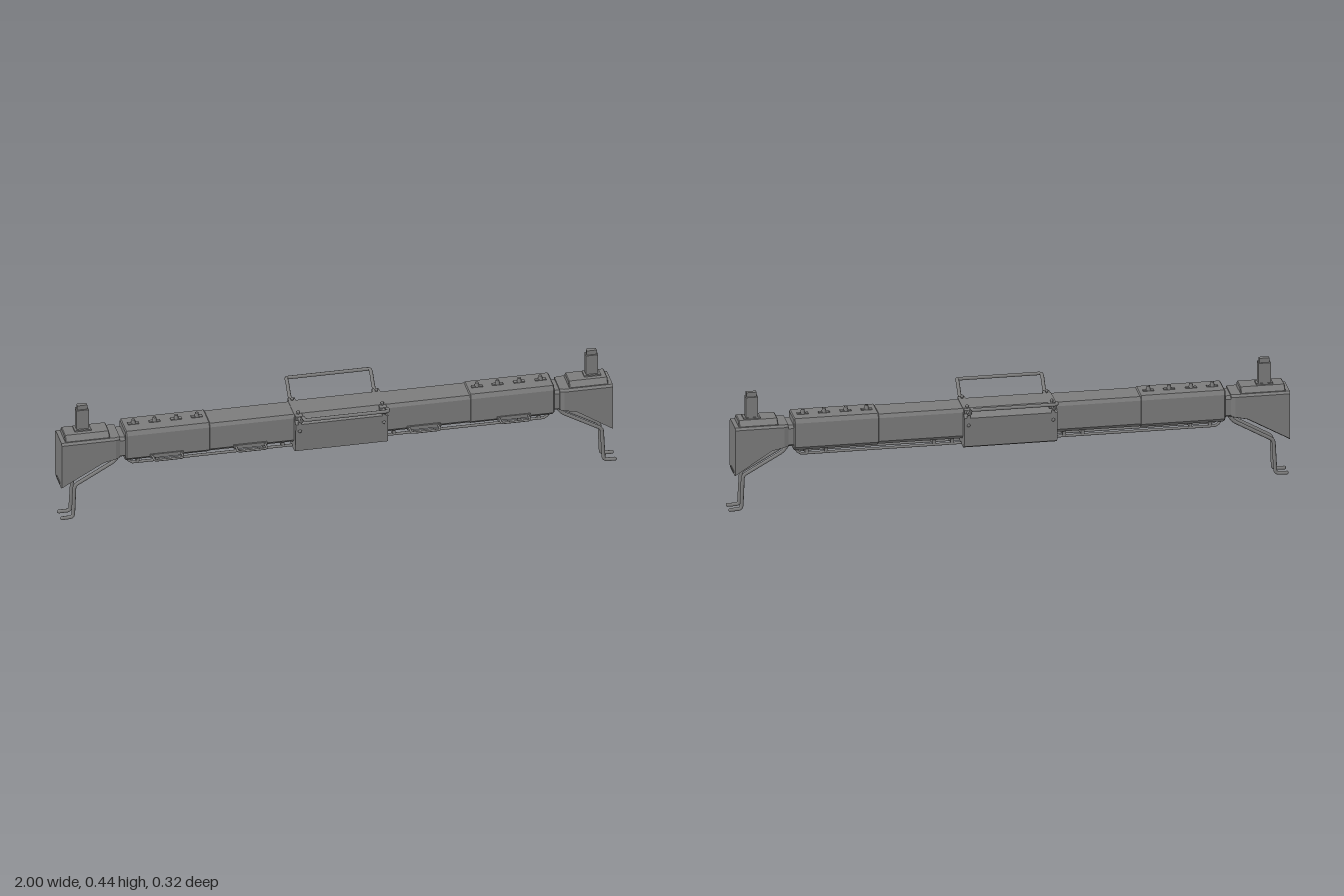
import * as THREE from 'three';

const mat = new THREE.MeshStandardMaterial({ color: 0x7c7c7c });
const V = (p) => new THREE.Vector3(...p);

export function createModel() {
  const root = new THREE.Group();
  const add = (name, geo, x = 0, y = 0, z = 0) => {
    const m = new THREE.Mesh(geo, mat);
    m.name = name;
    m.position.set(x, y, z);
    root.add(m);
    return m;
  };
  const box = (name, w, h, d, x, y, z) => add(name, new THREE.BoxGeometry(w, h, d), x, y, z);

  // Closed outline from a half-section of [z, y] points
  const section = (half) => {
    const pts = [...half, ...half.map(([z, y]) => [-z, y]).reverse()];
    return new THREE.Shape(pts.map(([z, y]) => new THREE.Vector2(z, y)));
  };

  // Constant section swept along x
  const beam = (name, half, x0, x1, bevel = 0) => {
    const geo = new THREE.ExtrudeGeometry(section(half), {
      depth: x1 - x0 - 2 * bevel, bevelEnabled: bevel > 0,
      bevelThickness: bevel, bevelSize: bevel, bevelOffset: -bevel, bevelSegments: 1,
    });
    geo.translate(0, 0, x0 + bevel).rotateY(Math.PI / 2);
    return add(name, geo);
  };

  // Section swept through stations [x, drop of the underside, width factor]
  const loft = (name, half, stations) => {
    const n = stations.length - 1;
    const geo = new THREE.ExtrudeGeometry(section(half), { depth: n, steps: n, bevelEnabled: false });
    const pos = geo.attributes.position;
    for (let i = 0; i < pos.count; i++) {
      const [x, drop, width] = stations[Math.round(pos.getZ(i))];
      const y = pos.getY(i);
      pos.setXYZ(i, pos.getX(i) * width, y < 0.28 ? y - drop : y, x);
    }
    geo.rotateY(Math.PI / 2);
    geo.computeVertexNormals();
    return add(name, geo);
  };

  // Bent rod with rounded corners and round ends
  const rod = (name, points, radius, bend = 0.01) => {
    const p = points.map(V);
    const path = new THREE.CurvePath();
    let last = p[0];
    for (let i = 1; i < p.length - 1; i++) {
      const cut = (q) => p[i].clone().add(
        q.clone().sub(p[i]).setLength(Math.min(bend, q.distanceTo(p[i]) * 0.45)));
      const a = cut(p[i - 1]), b = cut(p[i + 1]);
      path.add(new THREE.LineCurve3(last, a));
      path.add(new THREE.QuadraticBezierCurve3(a, p[i], b));
      last = b;
    }
    path.add(new THREE.LineCurve3(last, p[p.length - 1]));
    add(name, new THREE.TubeGeometry(path, 120, radius, 8));
    for (const e of [p[0], p[p.length - 1]]) {
      add(name + 'End', new THREE.SphereGeometry(radius, 8, 6), e.x, e.y, e.z);
    }
  };

  // Main beam and central housing
  beam('mainBeam', [[0.034, 0.222], [0.053, 0.238], [0.053, 0.325], [0.046, 0.338]], -0.47, 0.47);
  beam('centreHousing', [[0.055, 0.195], [0.073, 0.204], [0.079, 0.312], [0.056, 0.325], [0.048, 0.34]],
    -0.165, 0.167);

  for (const s of [-1, 1]) {
    const span = (a, b) => (s > 0 ? [a, b] : [-b, -a]);

    // Outer beam section and neck
    beam('outerSection', [[0.035, 0.22], [0.055, 0.236], [0.055, 0.326], [0.047, 0.342]],
      ...span(0.466, 0.77), 0.004);
    beam('neck', [[0.032, 0.235], [0.046, 0.245], [0.046, 0.305], [0.038, 0.316]], ...span(0.76, 0.81));

    // Low studs on top of the outer section
    for (const x of [0.503, 0.577, 0.655, 0.731]) {
      box('studBase', 0.04, 0.005, 0.014, s * x, 0.343, -0.003);
      add('stud', new THREE.CylinderGeometry(0.006, 0.009, 0.016, 8), s * x, 0.351, -0.003);
    }

    // End head with a sloped underside
    const end = s > 0 ? 0.98 : 1.0;
    const stations = [[s * 0.79, 0, 0.9], [s * 0.805, 0.002, 1], [s * 0.85, 0.012, 1], [s * end, 0.096, 1]];
    loft('endHead', [[0.04, 0.235], [0.055, 0.241], [0.055, 0.314], [0.048, 0.322]],
      s > 0 ? stations : stations.reverse());
    beam('headCap', [[0.046, 0.316], [0.046, 0.324], [0.031, 0.343]], ...span(0.825, end - 0.015), 0.003);
    box('headSlot', 0.004, 0.007, 0.055, s * end, 0.15, 0);

    // Sight post
    box('postBase', 0.06, 0.01, 0.038, s * 0.915, 0.343, -0.004);
    box('post', 0.044, 0.083, 0.028, s * 0.915, 0.381, -0.007);
    box('postTip', 0.036, 0.018, 0.016, s * 0.915, 0.43, -0.007);

    // Paired legs ending in outward feet
    for (const z of [-1, 1]) {
      rod('leg', [[s * 0.79, 0.232, z * 0.02], [s * 0.805, 0.212, z * 0.02], [s * 0.947, 0.132, z * 0.02],
        [s * 0.953, 0.008, z * 0.024], [s * 0.993, 0.007, z * 0.025]], 0.0068, 0.013);
    }

    // Grab loops on mounting strips, front face only
    for (const x of [s > 0 ? 0.3 : 0.323, 0.623]) {
      const c = s * x;
      box('grabLoopMount', 0.12, 0.014, 0.008, c, 0.238, 0.056);
      rod('grabLoop', [[c - 0.052, 0.238, 0.05], [c - 0.052, 0.238, 0.092],
        [c + 0.052, 0.238, 0.092], [c + 0.052, 0.238, 0.05]], 0.004);
    }

    // Rail hangers
    for (const x of [0.2, 0.265, 0.65, 0.72]) {
      box('railHanger', 0.012, 0.022, 0.044, s * x, 0.213, 0);
    }
  }

  for (const z of [-1, 1]) {
    // Underside rail
    rod('lowerRail', [[-0.765, 0.228, z * 0.018], [-0.745, 0.199, z * 0.018],
      [0.745, 0.199, z * 0.018], [0.765, 0.228, z * 0.018]], 0.005);

    // Carrying handle
    const arm = [[0.045, 0.331], [0.095, 0.331], [0.135, 0.372], [0.155, 0.372]];
    const side = (x) => arm.map(([d, y]) => [x, y, z * d]);
    rod('carryHandle', [...side(-0.15), ...side(0.152).reverse()], 0.0065);

    // Handle brackets, hooks and side bolts
    for (const x of [-0.15, 0.152]) {
      box('handleBracket', 0.026, 0.014, 0.03, x, 0.332, z * 0.055);
      add('hookPin', new THREE.CylinderGeometry(0.004, 0.004, 0.03, 8), x, 0.335, z * 0.049);
      add('hookKnob', new THREE.SphereGeometry(0.006, 8, 6), x, 0.347, z * 0.048);
      box('sideStrap', 0.012, 0.036, 0.006, x, 0.304, z * 0.077);
      add('sideBolt', new THREE.SphereGeometry(0.007, 8, 6), x, 0.286, z * 0.077);
    }
  }
  return root;
}
